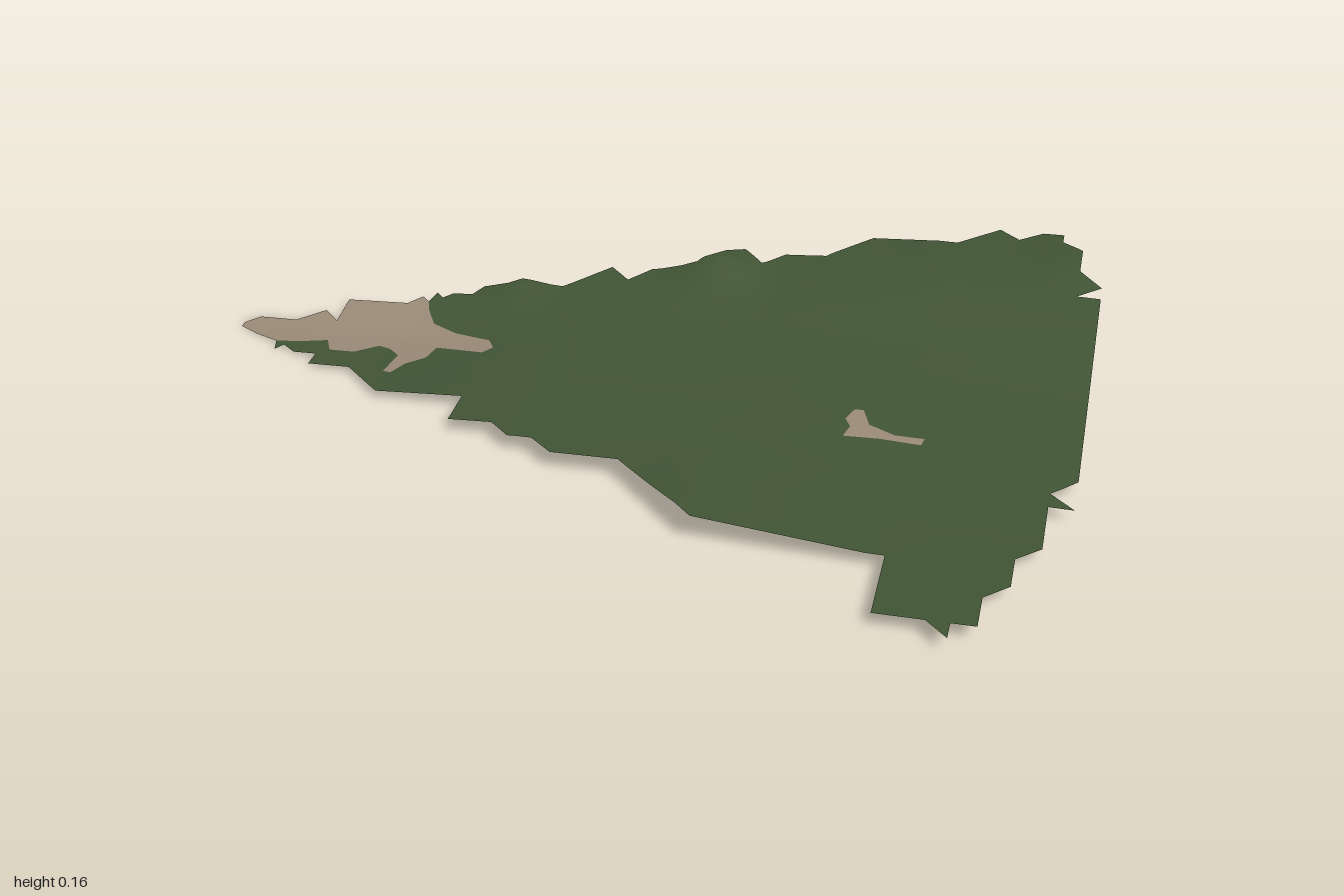
import * as THREE from 'three';

// Heights on a coarse grid: one row per z, one column per x
const gridX = [-1, -0.6, -0.2, 0.2, 0.6, 1];
const gridZ = [-0.8, -0.6, -0.45, -0.3, -0.15, 0, 0.2, 0.4, 0.6, 0.8];
const heights = [
  [0.03, 0.06, 0.10, 0.12, 0.14, 0.14],
  [0.02, 0.05, 0.09, 0.11, 0.145, 0.145],
  [0.01, 0.05, 0.075, 0.09, 0.135, 0.13],
  [0.01, 0.035, 0.06, 0.065, 0.08, 0.09],
  [0, 0.01, 0.05, 0.05, 0.06, 0.06],
  [0, 0.015, 0.045, 0.045, 0.05, 0.05],
  [0.01, 0.02, 0.045, 0.045, 0.04, 0.035],
  [0.02, 0.03, 0.045, 0.06, 0.035, 0.03],
  [0.02, 0.03, 0.05, 0.08, 0.035, 0.035],
  [0.02, 0.03, 0.05, 0.08, 0.035, 0.04],
];
// Small knolls: x, z, height, radius
const knolls = [[0.08, -0.5, 0.04, 0.09], [0.93, -0.66, 0.013, 0.1], [-0.38, -0.36, 0.02, 0.07]];

// Back coast, west to east, split where the beach meets the grass
const beachBack = [
  [-1, -0.15], [-0.97, -0.18], [-0.88, -0.18], [-0.82, -0.23], [-0.78, -0.19], [-0.78, -0.28],
  [-0.63, -0.28], [-0.6, -0.31], [-0.58, -0.29],
];
const grassBack = [
  [-0.57, -0.33], [-0.55, -0.31], [-0.53, -0.33], [-0.48, -0.33], [-0.46, -0.36], [-0.4, -0.36],
  [-0.37, -0.385], [-0.27, -0.385], [-0.17, -0.485], [-0.12, -0.435], [-0.07, -0.485], [0.04, -0.485],
  [0.14, -0.585], [0.19, -0.535], [0.24, -0.585], [0.34, -0.585], [0.44, -0.685], [0.645, -0.685],
  [0.74, -0.785], [0.79, -0.735], [0.845, -0.785], [0.895, -0.785], [0.895, -0.735], [0.945, -0.685],
  [0.945, -0.585], [1, -0.53], [0.945, -0.485], [1, -0.485],
];
// East and front coast, back to the west
const grassFront = [
  [1, 0.17], [0.945, 0.225], [1, 0.275], [0.945, 0.275], [0.945, 0.43], [0.895, 0.48], [0.895, 0.58],
  [0.845, 0.63], [0.845, 0.73], [0.793, 0.73], [0.793, 0.78], [0.745, 0.73], [0.64, 0.73], [0.64, 0.53],
  [0.24, 0.53], [0.04, 0.325], [-0.11, 0.325], [-0.165, 0.275], [-0.22, 0.275], [-0.27, 0.225],
  [-0.37, 0.225], [-0.37, 0.12], [-0.575, 0.12], [-0.675, 0.02], [-0.775, 0.02], [-0.775, -0.03],
  [-0.83, -0.03], [-0.865, -0.06], [-0.88, -0.035],
];
// Shared line between beach and grass, back to front
const shoreLine = [
  [-0.57, -0.26], [-0.54, -0.205], [-0.475, -0.17], [-0.385, -0.145], [-0.365, -0.11], [-0.385, -0.085],
  [-0.46, -0.095], [-0.5, -0.1], [-0.51, -0.05], [-0.55, -0.015], [-0.57, 0.03], [-0.59, 0.025],
  [-0.58, -0.055], [-0.61, -0.085], [-0.64, -0.095], [-0.69, -0.055], [-0.75, -0.055], [-0.77, -0.1],
  [-0.825, -0.085], [-0.89, -0.075],
];
const beachFront = [[-0.95, -0.1], [-1, -0.13]];
const clearing = [
  [0.5, 0], [0.52, 0], [0.54, 0.055], [0.6, 0.085], [0.665, 0.085], [0.66, 0.11], [0.57, 0.105],
  [0.49, 0.11], [0.5, 0.07], [0.485, 0.04],
];

// Index of the grid interval holding v, and the fraction along it
function locate(list, v) {
  let i = 0;
  while (i < list.length - 2 && v > list[i + 1]) i++;
  return [i, THREE.MathUtils.clamp((v - list[i]) / (list[i + 1] - list[i]), 0, 1)];
}

function heightAt(x, z) {
  const [i, u] = locate(gridX, x);
  const [j, v] = locate(gridZ, z);
  const { lerp } = THREE.MathUtils;
  let y = lerp(lerp(heights[j][i], heights[j][i + 1], u), lerp(heights[j + 1][i], heights[j + 1][i + 1], u), v);
  for (const [kx, kz, h, r] of knolls) y += h * Math.exp(-((x - kx) ** 2 + (z - kz) ** 2) / (r * r));
  return y;
}

// Part of a convex polygon where sign * (coordinate - limit) >= 0
function clip(poly, axis, limit, sign) {
  const out = [];
  poly.forEach((a, i) => {
    const b = poly[(i + 1) % poly.length];
    const da = sign * (a[axis] - limit), db = sign * (b[axis] - limit);
    if (da >= 0) out.push(a);
    if (da * db < 0) {
      const t = da / (da - db);
      out.push([a[0] + (b[0] - a[0]) * t, a[1] + (b[1] - a[1]) * t]);
    }
  });
  return out;
}

// Cut a polygon into strips along one axis
function strips(poly, axis, step) {
  const values = poly.map((p) => p[axis]);
  const out = [];
  for (let k = Math.floor(Math.min(...values) / step); k * step < Math.max(...values); k++) {
    const piece = clip(clip(poly, axis, k * step, 1), axis, (k + 1) * step, -1);
    if (piece.length > 2) out.push(piece);
  }
  return out;
}

// Drape a flat outline over the height field
function terrain(outline, holes = []) {
  const toVec = (list) => list.map(([x, z]) => new THREE.Vector2(x, z));
  const faces = THREE.ShapeUtils.triangulateShape(toVec(outline), holes.map(toVec));
  const flat = [outline, ...holes].flat();
  const positions = [], normals = [];
  const normal = new THREE.Vector3(), e = 0.025;
  const put = ([x, z]) => {
    positions.push(x, heightAt(x, z), z);
    normal.set(heightAt(x - e, z) - heightAt(x + e, z), 2 * e, heightAt(x, z - e) - heightAt(x, z + e)).normalize();
    normals.push(normal.x, normal.y, normal.z);
  };
  for (const face of faces) {
    const tri = face.map((i) => flat[i]);
    const [a, b, c] = tri;
    // keep every face turned upward
    if ((b[1] - a[1]) * (c[0] - a[0]) - (b[0] - a[0]) * (c[1] - a[1]) < 0) tri.reverse();
    for (const strip of strips(tri, 0, 0.05)) {
      for (const cell of strips(strip, 1, 0.05)) {
        for (let i = 1; i < cell.length - 1; i++) [cell[0], cell[i], cell[i + 1]].forEach(put);
      }
    }
  }
  const geometry = new THREE.BufferGeometry();
  geometry.setAttribute('position', new THREE.Float32BufferAttribute(positions, 3));
  geometry.setAttribute('normal', new THREE.Float32BufferAttribute(normals, 3));
  return geometry;
}

export function createModel() {
  const group = new THREE.Group();
  group.name = 'terrainPatch';
  const grass = new THREE.MeshStandardMaterial({ color: 0x425535, side: THREE.DoubleSide });
  grass.name = 'grassGreen';
  const sand = new THREE.MeshStandardMaterial({ color: 0x9c8b78, side: THREE.DoubleSide });
  sand.name = 'sandBeige';

  const add = (name, geometry, material) => {
    const mesh = new THREE.Mesh(geometry, material);
    mesh.name = name;
    group.add(mesh);
  };
  // Grassland with a hole for the sandy clearing
  const seam = [beachBack[beachBack.length - 1], ...shoreLine];
  add('grassland', terrain([...grassBack, ...grassFront, ...[...seam].reverse()], [clearing]), grass);
  // Beach at the western tip
  add('beach', terrain([...beachBack, ...shoreLine, ...beachFront]), sand);
  // Bare patch in the grass
  add('sandyClearing', terrain(clearing), sand);
  return group;
}
